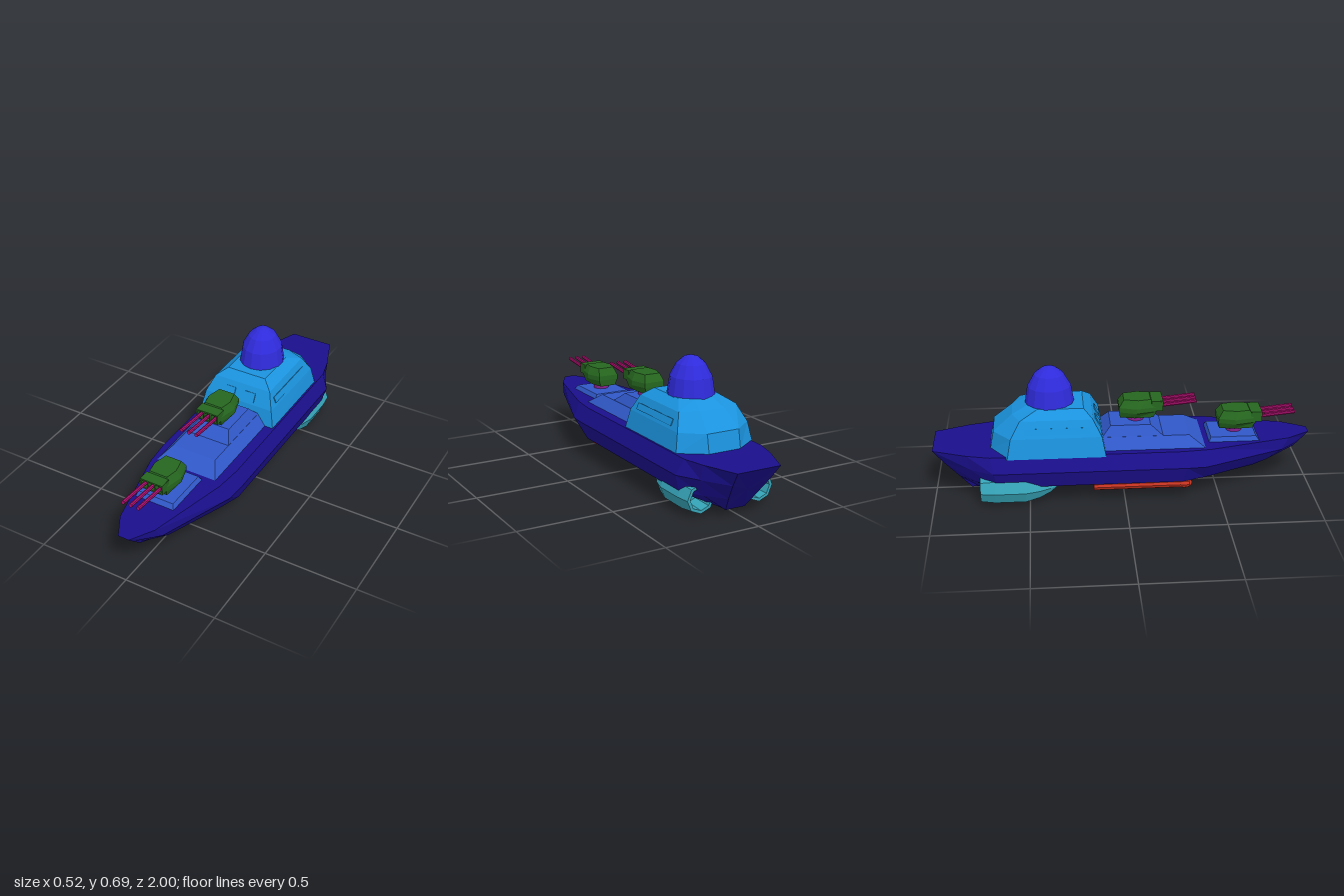
import * as THREE from 'three';

const mat = (color) => new THREE.MeshStandardMaterial({ color, flatShading: true });
const navy = mat(0x1a0f8c), blue = mat(0x1b93de), deckBlue = mat(0x3058c8), indigo = mat(0x2f2bdc);
const green = mat(0x26661f), darkGreen = mat(0x163f16), purple = mat(0x8a2090), pink = mat(0xb01070);
const teal = mat(0x36a4b8), red = mat(0xcc3522);
const CX = -0.007; // centre line of the deck fittings

function add(parent, name, geometry, material, x = 0, y = 0, z = 0) {
  const mesh = new THREE.Mesh(geometry, material);
  mesh.name = name;
  mesh.position.set(x, y, z);
  parent.add(mesh);
  return mesh;
}

// Closed solid through mirrored half rings of [x, y, z] points, capped at both ends
function loft(halfRings) {
  const rings = halfRings.map((h) => [...h, ...[...h].reverse().map(([x, y, z]) => [-x, y, z])]);
  const n = rings[0].length;
  const pos = rings.flat(2), idx = [];
  for (let r = 0; r < rings.length - 1; r++) {
    for (let i = 0; i < n; i++) {
      const a = r * n + i, b = r * n + (i + 1) % n;
      idx.push(a, b, b + n, a, b + n, a + n);
    }
  }
  [0, rings.length - 1].forEach((r) => {
    const c = pos.length / 3;
    for (let k = 0; k < 3; k++) pos.push(rings[r].reduce((s, p) => s + p[k], 0) / n);
    for (let i = 0; i < n; i++) {
      const a = r * n + i, b = r * n + (i + 1) % n;
      if (r) idx.push(c, a, b); else idx.push(c, b, a);
    }
  });
  // Turn the faces outward if the enclosed volume is negative
  const v = (i) => new THREE.Vector3().fromArray(pos, i * 3);
  let volume = 0;
  for (let i = 0; i < idx.length; i += 3) volume += v(idx[i]).dot(v(idx[i + 1]).cross(v(idx[i + 2])));
  if (volume < 0) idx.reverse();
  const g = new THREE.BufferGeometry();
  g.setAttribute('position', new THREE.Float32BufferAttribute(pos, 3));
  g.setIndex(idx);
  g.computeVertexNormals();
  return g;
}

// Stepped platform: levels of [y, halfWidth, frontZ, backZ]
const platform = (levels) => loft(levels.map(([y, w, f, b]) => [[w, y, f], [w, y, b]]));

// Horizontal levels with front, side and back points: [y, w1, z1, w2, z2, w3, z3]
const levelLoft = (levels) => loft(levels.map(([y, ...p]) => [[p[0], y, p[1]], [p[2], y, p[3]], [p[4], y, p[5]]]));

// Lathe lying along z, profile of [radius, z]
const latheZ = (profile, sides) =>
  new THREE.LatheGeometry(profile.map(([r, z]) => new THREE.Vector2(r, z)), sides).rotateX(Math.PI / 2);

function makeTurret(y, z) {
  const turret = new THREE.Group();
  turret.name = 'gunTurret';
  turret.position.set(CX, y, z);
  add(turret, 'pedestal', new THREE.CylinderGeometry(0.043, 0.043, 0.05, 12), purple, 0, -0.01, 0);
  add(turret, 'turretBody', levelLoft([
    [0, 0.055, 0.09, 0.062, -0.01, 0.045, -0.085],
    [0.035, 0.063, 0.105, 0.086, 0, 0.058, -0.09],
    [0.06, 0.063, 0.105, 0.086, 0, 0.058, -0.09],
    [0.1, 0.05, 0.075, 0.062, 0.01, 0.045, -0.065],
  ]), green);
  // Open three-bay gun housing
  add(turret, 'housingBack', new THREE.BoxGeometry(0.122, 0.045, 0.01), darkGreen, 0, 0.067, 0.105);
  for (const py of [0.042, 0.09])
    add(turret, 'housingPlate', new THREE.BoxGeometry(0.126, 0.008, 0.06), green, 0, py, 0.11);
  for (let i = 0; i < 4; i++)
    add(turret, 'housingDivider', new THREE.BoxGeometry(0.007, 0.05, 0.06), green, -0.06 + i * 0.04, 0.066, 0.11);
  for (const x of [-0.043, 0, 0.043]) {
    const barrel = add(turret, 'barrel', new THREE.CylinderGeometry(0.01, 0.01, 0.21, 8), pink, x, 0.071, 0.213);
    barrel.rotation.x = Math.PI / 2 - 0.1;
  }
  return turret;
}

export function createModel() {
  const model = new THREE.Group();
  model.name = 'warship';

  // Hull: deck edge, chine, bilge and keel points from bow to stern
  add(model, 'hull', loft([
    [[0.03, 0.28, 1], [0.034, 0.25, 0.97], [0.035, 0.22, 0.94], [0.035, 0.2, 0.92]],
    [[0.1, 0.28, 0.88], [0.115, 0.22, 0.84], [0.1, 0.16, 0.77], [0.085, 0.12, 0.7]],
    [[0.205, 0.28, 0.45], [0.25, 0.2, 0.42], [0.19, 0.11, 0.42], [0.065, 0.055, 0.48]],
    [[0.22, 0.28, 0.3], [0.256, 0.2, 0.32], [0.23, 0.11, 0.3], [0.055, 0.03, 0.33]],
    [[0.22, 0.28, -0.7], [0.256, 0.2, -0.68], [0.23, 0.11, -0.67], [0.055, 0.03, -0.68]],
    [[0.19, 0.28, -0.82], [0.19, 0.2, -0.8], [0.16, 0.11, -0.77], [0.055, 0.03, -0.77]],
    [[0.12, 0.28, -1], [0.105, 0.2, -0.94], [0.08, 0.11, -0.87], [0.055, 0.03, -0.81]],
  ]), navy, 0.003);

  // Stepped gun decks
  add(model, 'foreDeck', platform([[0.27, 0.117, 0.725, 0.445], [0.303, 0.098, 0.7, 0.46]]), deckBlue, CX);
  add(model, 'midDeck', platform([[0.275, 0.178, 0.43, -0.14], [0.335, 0.125, 0.34, -0.14]]), deckBlue, CX);
  add(model, 'upperDeck', platform([[0.33, 0.127, 0.21, -0.12], [0.385, 0.09, 0.14, -0.07]]), deckBlue, CX);

  // Gun turrets
  model.add(makeTurret(0.33, 0.595), makeTurret(0.41, 0.068));

  // Superstructure with rounded stern end
  add(model, 'superstructure', levelLoft([
    [0.27, 0.222, -0.1, 0.222, -0.61, 0.09, -0.7],
    [0.375, 0.2, -0.12, 0.202, -0.59, 0.09, -0.68],
    [0.46, 0.165, -0.165, 0.165, -0.54, 0.07, -0.58],
    [0.5, 0.112, -0.21, 0.112, -0.45, 0.05, -0.5],
  ]), blue, CX);

  // Bridge windows and side panels
  for (const s of [-1, 1]) {
    const win = add(model, 'bridgeWindow', new THREE.BoxGeometry(0.06, 0.05, 0.008), blue, CX + s * 0.06, 0.41, -0.137);
    win.rotation.x = -0.49;
    const panel = add(model, 'sidePanel', new THREE.BoxGeometry(0.006, 0.035, 0.34), blue, CX + s * 0.189, 0.407, -0.35);
    panel.rotation.z = s * 0.39;
  }

  // Radar dome
  const dome = add(model, 'dome', new THREE.LatheGeometry(
    [[0.124, 0.47], [0.12, 0.49], [0.105, 0.59], [0.072, 0.653], [0.035, 0.685], [0, 0.695]]
      .map(([r, y]) => new THREE.Vector2(r, y)), 14), indigo, CX, 0, -0.383);
  dome.scale.z = 1.08;

  // Hollow engine pods and side floats
  const pod = latheZ([[0, -0.64], [0.055, -0.64], [0.06, -0.755], [0.076, -0.755], [0.086, -0.68], [0.086, -0.52],
    [0.066, -0.45], [0.036, -0.39], [0, -0.35]], 8);
  const float = latheZ([[0, -0.165], [0.036, -0.165], [0.036, 0.29], [0.042, 0.31], [0.036, 0.337], [0.02, 0.35],
    [0, 0.355]], 10);
  for (const s of [-1, 1]) {
    add(model, 'enginePod', pod, teal, CX + s * 0.168, 0.088, 0);
    const f = add(model, 'sideFloat', float, red, -0.018 + s * 0.172, 0.085, 0);
    f.scale.y = 0.7;
    f.rotation.z = s * 0.35;
  }
  return model;
}
